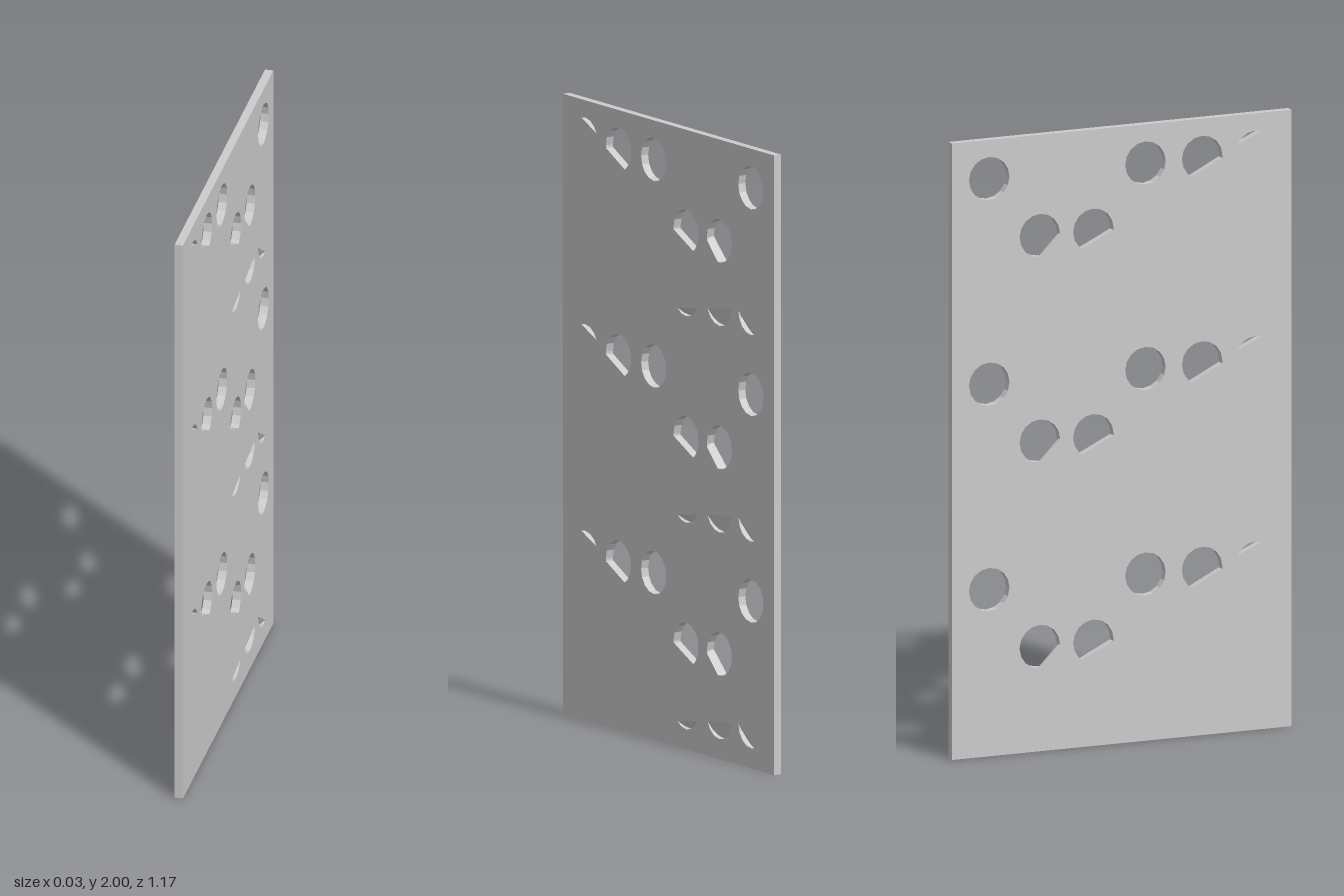
import * as THREE from 'three';

const T = 0.027, W = 1.174, H = 2, R = 0.07, PITCH = 2 / 3;
const rad = THREE.MathUtils.degToRad;

// Arc points around (u, y) from angle a to b in degrees; u runs towards -z
function arc(u, y, a, b) {
  const angles = [a];
  for (let k = Math.ceil((a + 3) / 22.5) * 22.5; k < b - 3; k += 22.5) angles.push(k);
  if (b - a < 360) angles.push(b);
  return angles.map(d => new THREE.Vector2(u + R * Math.cos(rad(d)), y + R * Math.sin(rad(d))));
}

// Openings that pass right through: [u, y, start angle, end angle]
const holes = [
  [-0.463, 0.541, 25, 108],
  [-0.278, 0.541, -60, 187],
  [-0.082, 0.541, 0, 360],
  [0.458, 0.541, 0, 360],
  [0.098, 0.34, -56, 185],
  [0.283, 0.34, -98, 188],
];
// Shallow recesses with a sloping floor on the +x face
const recesses = [
  [0.098, 0.135, 226, 332],
  [0.283, 0.135, 199, 356],
  [0.458, 0.135, 182, 290],
];

// Extrude a (u, y) shape through the panel thickness, along x
function slab(shape, slope) {
  const g = new THREE.ExtrudeGeometry(shape, { depth: T, bevelEnabled: false });
  if (slope) slope(g.attributes.position);
  g.translate(0, 0, -T / 2).rotateY(Math.PI / 2);
  g.computeVertexNormals();
  return g;
}

// Sink the front of a plug from the line p-q down to the given depth
function sink(p, q, depth) {
  const n = new THREE.Vector2(-(q.y - p.y), q.x - p.x).normalize();
  return pos => {
    const d = [];
    for (let i = 0; i < pos.count; i++)
      d.push(Math.abs((pos.getX(i) - p.x) * n.x + (pos.getY(i) - p.y) * n.y));
    const far = Math.max(...d);
    d.forEach((v, i) => { if (pos.getZ(i) > T / 2) pos.setZ(i, T - depth * v / far); });
  };
}

export function createModel() {
  const group = new THREE.Group();
  const mat = new THREE.MeshStandardMaterial({ color: 0xcccccc, flatShading: true });
  const add = (name, geo) => {
    const m = new THREE.Mesh(geo, mat);
    m.name = name;
    group.add(m);
  };

  const panel = new THREE.Shape([[-1, 0], [1, 0], [1, H], [-1, H]]
    .map(([s, y]) => new THREE.Vector2(s * W / 2, y)));

  // The same pattern repeats three times up the panel
  for (let i = 0; i < 3; i++) {
    const dy = i * PITCH;
    for (const [u, y, a, b] of [...holes, ...recesses])
      panel.holes.push(new THREE.Path(arc(u, y + dy, a, b)));

    // Sloping recess floors
    for (const [u, y, a, b] of recesses) {
      const pts = arc(u, y + dy, a, b);
      add('recessFloor', slab(new THREE.Shape(pts), sink(pts[0], pts[pts.length - 1], T * 0.7)));
    }

    // Slanted lip along the cut edge of one hole
    const [p, q] = arc(0.283, 0.34 + dy, 188, 262).filter((v, k, l) => k === 0 || k === l.length - 1);
    const [r, s] = arc(0.283, 0.34 + dy, 180, 274).filter((v, k, l) => k === 0 || k === l.length - 1);
    add('holeLip', slab(new THREE.Shape([p, q, s, r]), sink(p, q, T * 0.95)));
  }

  add('panel', slab(panel));
  return group;
}
